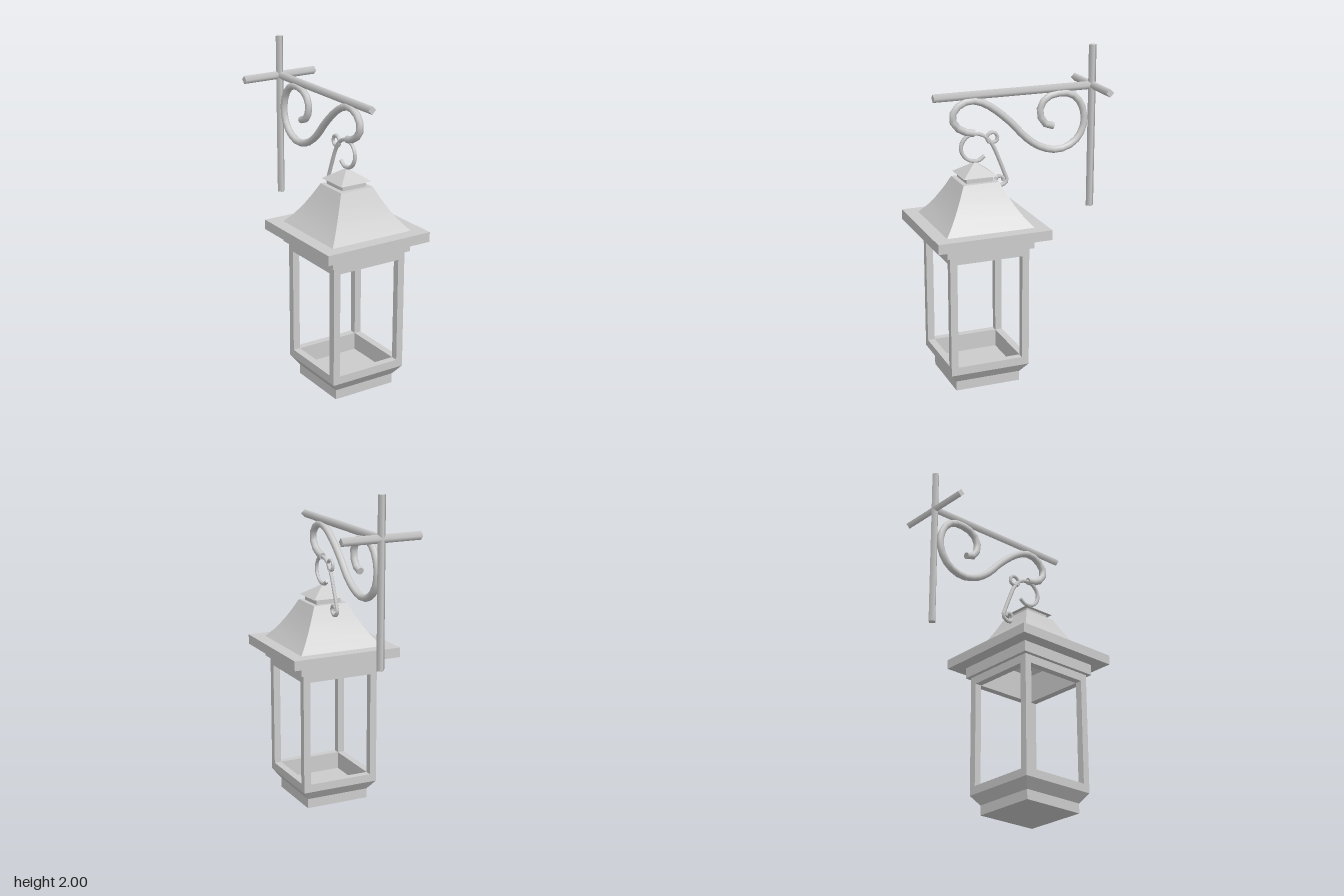
import * as THREE from 'three';
import { toCreasedNormals } from 'three/addons/utils/BufferGeometryUtils.js';

const LANTERN_Z = 0.21;
const WALL_Z = -0.54;
const ARM_Y = 1.755;

export function createModel() {
  const model = new THREE.Group();
  const metal = new THREE.MeshStandardMaterial({ color: 0xcccccc, side: THREE.DoubleSide });

  const add = (parent, name, geometry, x = 0, y = 0, z = 0) => {
    const mesh = new THREE.Mesh(geometry, metal);
    mesh.name = name;
    mesh.position.set(x, y, z);
    parent.add(mesh);
    return mesh;
  };

  // Square solid from a profile of [half width, height]
  const square = (profile) => {
    const points = profile.map(([h, y]) => new THREE.Vector2(h * Math.SQRT2, y));
    const geometry = new THREE.LatheGeometry(points, 4).rotateY(Math.PI / 4);
    return toCreasedNormals(geometry, 0.4);
  };
  // Hollow square band
  const band = (inner, outer, y0, y1) =>
    square([[inner, y0], [outer, y0], [outer, y1], [inner, y1], [inner, y0]]);

  // Lantern
  const lantern = new THREE.Group();
  lantern.name = 'lantern';
  lantern.position.z = LANTERN_Z;
  model.add(lantern);

  add(lantern, 'base', square([[0, 0], [0.203, 0], [0.203, 0.06], [0, 0.06]]));
  add(lantern, 'lowerRail', square(
    [[0.203, 0.06], [0.247, 0.12], [0.247, 0.17], [0.203, 0.17], [0.203, 0.06]]));
  for (const sx of [-1, 1]) {
    for (const sz of [-1, 1]) {
      add(lantern, 'cornerPost', new THREE.BoxGeometry(0.044, 0.65, 0.044),
        sx * 0.225, 0.495, sz * 0.225);
    }
  }
  add(lantern, 'upperRail', band(0.203, 0.247, 0.82, 0.87));
  add(lantern, 'frieze', band(0.203, 0.27, 0.87, 0.937));
  add(lantern, 'eaves', band(0.203, 0.35, 0.937, 0.997));

  // Concave roof with stepped cap
  add(lantern, 'roof', square([[0.27, 0.997], [0.221, 1.055], [0.18, 1.117],
    [0.143, 1.183], [0.11, 1.25], [0, 1.25]]));
  add(lantern, 'capNeck', square([[0.082, 1.25], [0.082, 1.285]]));
  add(lantern, 'cap', square([[0, 1.283], [0.105, 1.283], [0, 1.357]]));

  // Wall bracket of thin four-sided bars
  const bracket = new THREE.Group();
  bracket.name = 'bracket';
  model.add(bracket);
  const bar = (length) => new THREE.CylinderGeometry(0.025, 0.025, length, 4);
  add(bracket, 'wallBar', bar(1), 0, 1.5, WALL_Z);
  add(bracket, 'crossBar', bar(0.5).rotateZ(Math.PI / 2), 0, ARM_Y, WALL_Z);
  add(bracket, 'arm', bar(1.003).rotateX(Math.PI / 2), 0, ARM_Y, -0.039);

  // Curled rod through [z, y] points, with closed ends
  const scroll = (parent, name, path, radius, segments, sides) => {
    const curve = new THREE.CatmullRomCurve3(path.map(([z, y]) => new THREE.Vector3(0, y, z)));
    add(parent, name, new THREE.TubeGeometry(curve, segments, radius, sides));
    for (const t of [0, 1]) {
      const end = add(parent, name + 'End', new THREE.CircleGeometry(radius, sides));
      const point = curve.getPointAt(t);
      end.position.copy(point);
      end.lookAt(point.add(curve.getTangentAt(t).multiplyScalar(t ? 1 : -1)));
    }
  };

  scroll(bracket, 'scroll', [
    [0.212, 1.527], [0.28, 1.545], [0.335, 1.59], [0.345, 1.645], [0.31, 1.695],
    [0.24, 1.723], [0.165, 1.708], [0.085, 1.66], [-0.02, 1.57], [-0.115, 1.47],
    [-0.21, 1.405], [-0.32, 1.378], [-0.42, 1.41], [-0.48, 1.485], [-0.492, 1.57],
    [-0.465, 1.655], [-0.405, 1.712], [-0.32, 1.722], [-0.245, 1.7], [-0.207, 1.65],
    [-0.21, 1.585], [-0.245, 1.54], [-0.29, 1.527],
  ], 0.022, 36, 8);

  // Hanging hook with two small curls
  const hook = new THREE.Group();
  hook.name = 'hook';
  model.add(hook);
  scroll(hook, 'hookStem', [
    [0.15, 1.385], [0.19, 1.36], [0.25, 1.37], [0.29, 1.415], [0.293, 1.465],
    [0.26, 1.51], [0.205, 1.525], [0.145, 1.503], [0.1, 1.45], [0.055, 1.35],
    [0.02, 1.26], [0.008, 1.222], [0.03, 1.198], [0.065, 1.197], [0.083, 1.225],
    [0.065, 1.252], [0.035, 1.245], [0.03, 1.222],
  ], 0.012, 44, 6);
  scroll(hook, 'hookCurl', [
    [0.12, 1.463], [0.135, 1.495], [0.115, 1.52], [0.085, 1.52], [0.067, 1.495],
    [0.075, 1.468], [0.098, 1.463],
  ], 0.011, 14, 6);

  return model;
}
